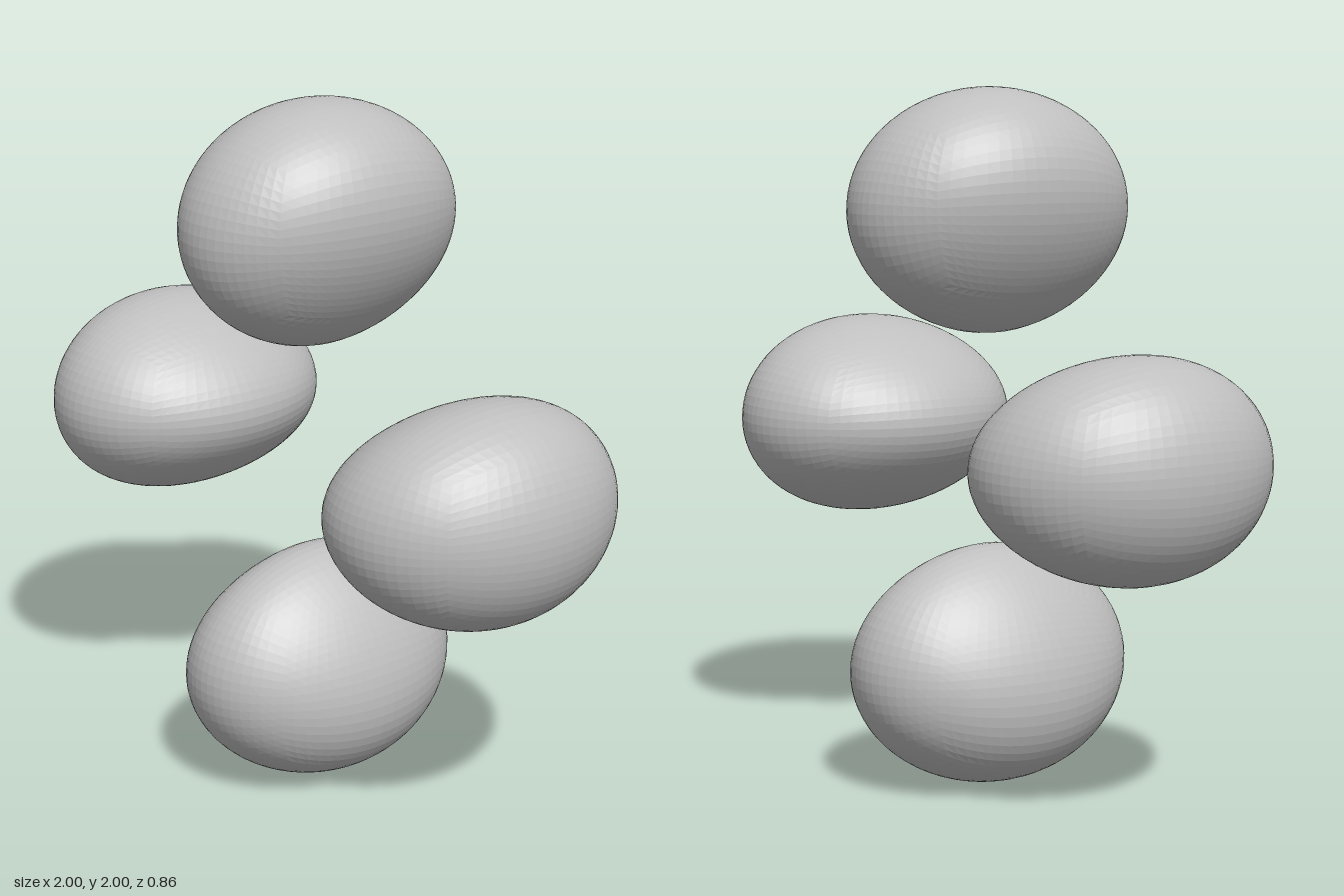
import * as THREE from 'three';

// Each lobe is the level surface (u^2 - v^2) * exp(-A * r^P) = LEVEL around the u axis.
const TIP = 0.305, P = 1.4;
const A = -2 * Math.log(TIP) / (1 - Math.pow(TIP, P));
const LEVEL = Math.exp(-A);
const MID = (1 + TIP) / 2;

function field(u, v, w) {
  return (u * u - v * v) * Math.exp(-A * Math.pow(Math.hypot(u, v, w), P)) - LEVEL;
}

// A gridded cube pushed outwards from the lobe's middle onto the level surface.
function lobeGeometry() {
  const geo = new THREE.BoxGeometry(2, 2, 2, 18, 18, 18);
  const pos = geo.attributes.position;
  const d = new THREE.Vector3();
  const even = (t) => Math.tan(t * Math.PI / 4);
  for (let i = 0; i < pos.count; i++) {
    d.set(even(pos.getX(i)), even(pos.getY(i)), even(pos.getZ(i))).normalize();
    d.set(d.x * 0.3475, d.y * 0.305, d.z * 0.43);
    let lo = 0, hi = 1.4;
    for (let k = 0; k < 40; k++) {
      const m = (lo + hi) / 2;
      if (field(MID + d.x * m, d.y * m, d.z * m) > 0) lo = m;
      else hi = m;
    }
    pos.setXYZ(i, MID + d.x * lo, d.y * lo, d.z * lo);
  }
  geo.computeVertexNormals();
  return geo;
}

export function createModel() {
  const model = new THREE.Group();
  model.name = 'fourLobes';
  const grey = new THREE.MeshStandardMaterial({ color: 0xbfbfbf, flatShading: true });
  grey.name = 'grey';

  // Four equal lobes, a quarter turn apart in the upright plane.
  const geo = lobeGeometry();
  ['leftLobe', 'topLobe', 'rightLobe', 'bottomLobe'].forEach((name, i) => {
    const lobe = new THREE.Mesh(geo, grey);
    lobe.name = name;
    lobe.rotation.z = i * Math.PI / 2;
    lobe.position.y = 1;
    model.add(lobe);
  });
  return model;
}
